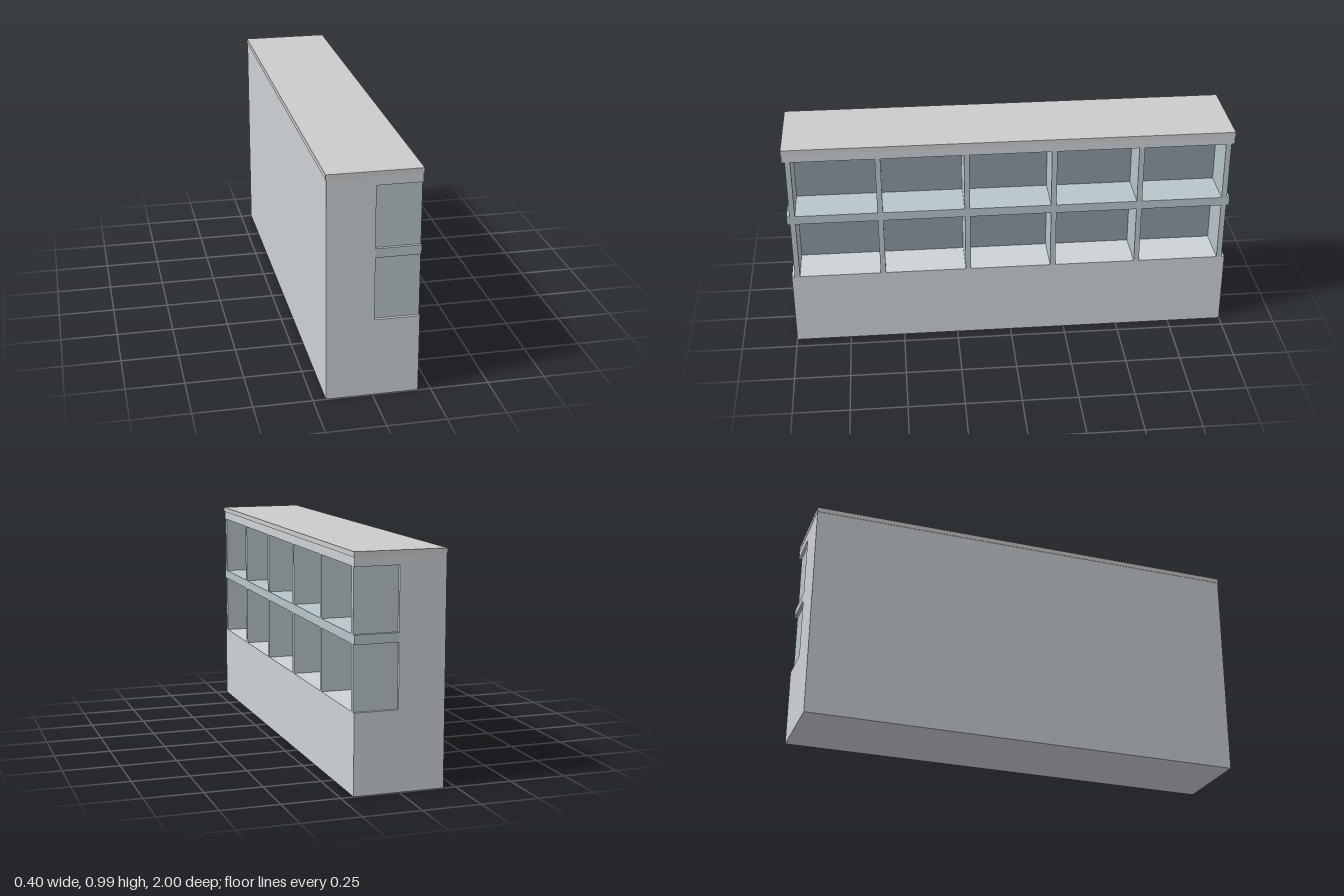
import * as THREE from 'three';

const mat = (color) => new THREE.MeshStandardMaterial({ color, flatShading: true });

export function createModel() {
  const group = new THREE.Group();
  const bodyMat = mat(0xcdd2d7), capMat = mat(0xd0d2d4);
  const frameMat = mat(0xb8c5ca), backMat = mat(0x8b98a1);

  // box given by its limits on each axis
  const box = (name, [x0, x1], [y0, y1], [z0, z1], material) => {
    const mesh = new THREE.Mesh(new THREE.BoxGeometry(x1 - x0, y1 - y0, z1 - z0), material);
    mesh.position.set((x0 + x1) / 2, (y0 + y1) / 2, (z0 + z1) / 2);
    mesh.name = name;
    group.add(mesh);
  };

  const back = -0.196, front = 0.195, inner = 0.005, half = 0.999;
  const rows = [[0.345, 0.62], [0.66, 0.93]];
  const top = 0.968;

  // C-shaped body: solid base, back wall and top rail
  const profile = new THREE.Shape([
    [back, 0], [front, 0], [front, rows[0][0]], [inner, rows[0][0]],
    [inner, rows[1][1]], [front, rows[1][1]], [front, top], [back, top],
  ].map(([x, y]) => new THREE.Vector2(x, y)));
  const body = new THREE.Mesh(
    new THREE.ExtrudeGeometry(profile, { depth: 2 * half, bevelEnabled: false }), bodyMat);
  body.position.z = -half;
  body.name = 'body';
  group.add(body);

  // slightly overhanging top slab
  box('topSlab', [-0.198, 0.198], [top, 0.99], [-1, 1], capMat);

  // shelf between the two rows
  box('shelf', [inner, front], [rows[0][1], rows[1][0]], [-half, half], frameMat);

  // upright dividers and niche backs; the end dividers are set in from the ends
  const pitch = 0.3895, w = 0.012;
  for (const row of rows) {
    for (let i = 0; i < 6; i++) {
      const z = (i - 2.5) * pitch;
      box('divider', [inner, front], row, [z - w, z + w], frameMat);
      if (i < 5) box('nicheBack', [inner, inner + 0.002], row, [z + w, z + pitch - w], backMat);
    }
  }
  return group;
}
